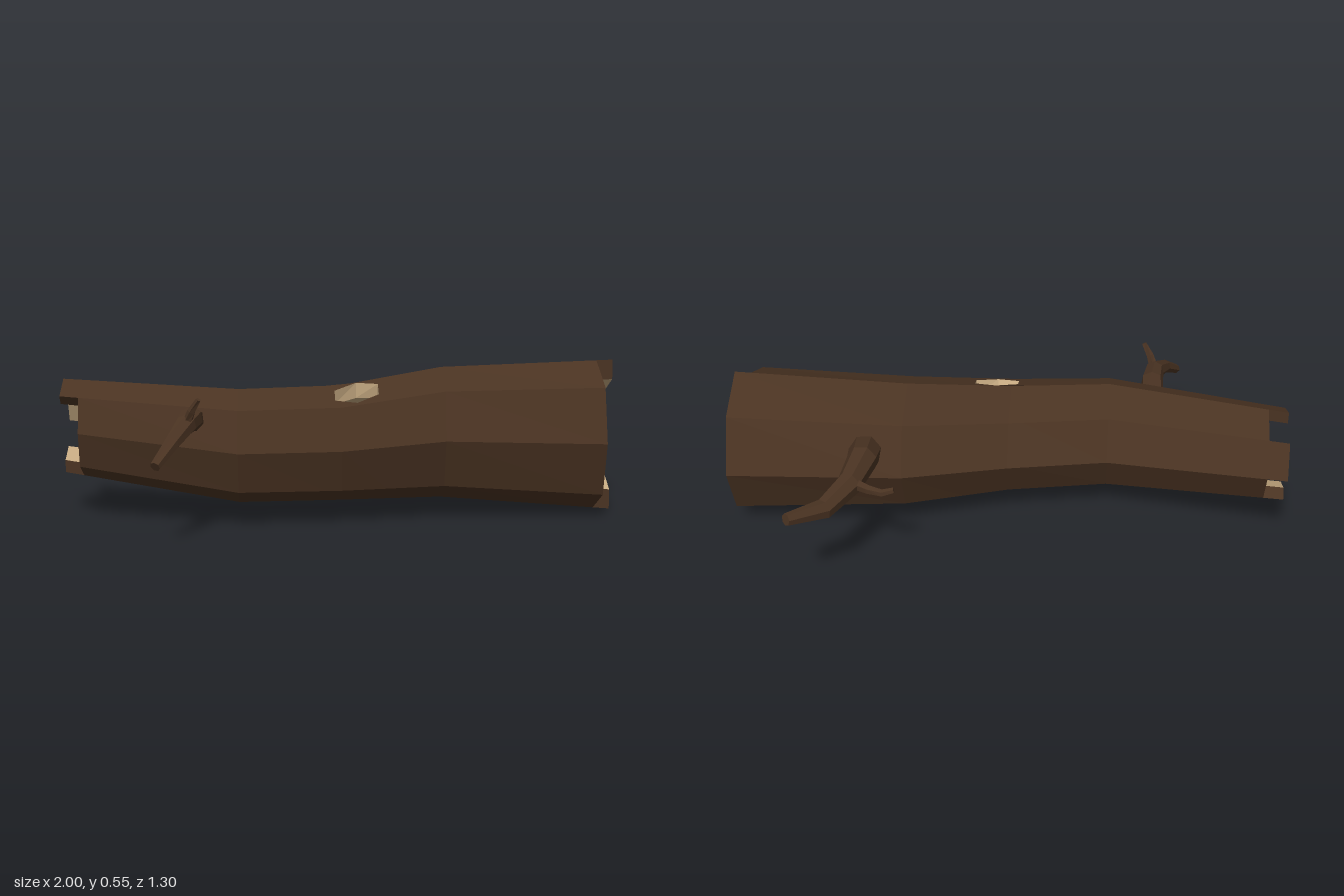
import * as THREE from 'three';

const bark = new THREE.MeshStandardMaterial({ color: 0x4a3322, flatShading: true, side: THREE.DoubleSide });
const wood = new THREE.MeshStandardMaterial({ color: 0xc4a880, flatShading: true, side: THREE.DoubleSide });
const V = (x, y, z) => new THREE.Vector3(x, y, z);

// Cross-sections of the trunk: x, centre y, centre z, radius y, radius z
const sections = [
  [-1, 0.317, -0.01, 0.172, 0.165],
  [-0.36, 0.267, 0.168, 0.203, 0.202],
  [0, 0.268, 0.118, 0.208, 0.217],
  [0.37, 0.29, 0.02, 0.24, 0.24],
  [1, 0.277, 0.017, 0.277, 0.25],
];
const SIDES = 8;
const INNER = 0.74;

// Corner i of the octagon at x, counted from the top towards the front
function corner(x, i, s) {
  let k = 0;
  while (k < sections.length - 2 && x > sections[k + 1][0]) k++;
  const p = sections[k], q = sections[k + 1];
  const t = (x - p[0]) / (q[0] - p[0]);
  const [, cy, cz, ry, rz] = p.map((v, j) => v + (q[j] - v) * t);
  const a = (i / SIDES) * Math.PI * 2;
  return V(x, cy + Math.cos(a) * ry * s, cz + Math.sin(a) * rz * s + 0.015 * Math.abs(Math.cos(a)));
}

// Point on the flat side between two corners
function onWall(x, a, s) {
  const i = Math.floor(a);
  return corner(x, i, s).lerp(corner(x, i + 1, s), a - i);
}

// Collects triangles into one mesh
class Faces {
  points = [];
  tri(a, b, c) { this.points.push(a, b, c); }
  quad(a, b, c, d) { this.tri(a, b, c); this.tri(a, c, d); }
  mesh(name, material) {
    const g = new THREE.BufferGeometry().setFromPoints(this.points);
    g.computeVertexNormals();
    const m = new THREE.Mesh(g, material);
    m.name = name;
    return m;
  }
}

function createTrunk() {
  const outside = new Faces(), inside = new Faces(), brokenWood = new Faces(), brokenBark = new Faces();
  const left = [0, 1, 2, 3, 4, 5, 6, 7].map(i => ([0, 4, 6].includes(i) ? -1 : -0.93));
  const right = [0, 1, 2, 3, 4, 5, 6, 7].map(i => (i < 4 ? 0.94 : 1));
  const hx0 = -0.05, hx1 = 0.16;

  for (let i = 0; i < SIDES; i++) {
    // Staves of the hollow trunk
    const xs = [left[i], -0.36, hx0, 0, hx1, 0.37, right[i]];
    for (let k = 0; k < xs.length - 1; k++) {
      const a = xs[k], b = xs[k + 1];
      if (i === 0 && a >= hx0 && b <= hx1) continue; // left open for the knot hole
      outside.quad(corner(a, i, 1), corner(a, i + 1, 1), corner(b, i + 1, 1), corner(b, i, 1));
      inside.quad(corner(a, i, INNER), corner(b, i, INNER), corner(b, i + 1, INNER), corner(a, i + 1, INNER));
    }
    // Stave ends
    const l = left[i], r = right[i];
    brokenWood.quad(corner(l, i, 1), corner(l, i, INNER), corner(l, i + 1, INNER), corner(l, i + 1, 1));
    (r < 1 ? brokenWood : brokenBark).quad(
      corner(r, i, 1), corner(r, i + 1, 1), corner(r, i + 1, INNER), corner(r, i, INNER));
    // Split sides where neighbouring staves differ in length
    const n = (i + 1) % SIDES;
    for (const ends of [left, right]) {
      if (ends[i] === ends[n]) continue;
      brokenBark.quad(corner(ends[i], n, 1), corner(ends[n], n, 1), corner(ends[n], n, INNER), corner(ends[i], n, INNER));
    }
  }

  // Six-sided knot hole through the upper front stave
  const outline = [[hx0, 0], [0, 0], [hx1, 0], [hx1, 1], [0, 1], [hx0, 1]].map(p => new THREE.Vector2(...p));
  const hole = [];
  for (let k = 0; k < 6; k++) {
    const a = Math.PI / 2 - (k * Math.PI) / 3;
    hole.push(new THREE.Vector2(0.057 + 0.09 * Math.cos(a), 0.46 + 0.44 * Math.sin(a)));
  }
  const all = [...outline, ...hole];
  for (const f of THREE.ShapeUtils.triangulateShape(outline, [hole])) {
    let [p, q, r] = f.map(j => all[j]);
    if (THREE.ShapeUtils.area([p, q, r]) > 0) [q, r] = [r, q];
    outside.tri(onWall(p.x, p.y, 1), onWall(q.x, q.y, 1), onWall(r.x, r.y, 1));
    inside.tri(onWall(p.x, p.y, INNER), onWall(r.x, r.y, INNER), onWall(q.x, q.y, INNER));
  }
  const rim = new Faces();
  hole.forEach((p, k) => {
    const q = hole[(k + 1) % 6];
    rim.quad(onWall(p.x, p.y, 1), onWall(q.x, q.y, 1), onWall(q.x, q.y, INNER), onWall(p.x, p.y, INNER));
  });

  const trunk = new THREE.Group();
  trunk.name = 'trunk';
  trunk.add(outside.mesh('trunkBark', bark), inside.mesh('hollowInside', wood),
    brokenWood.mesh('brokenEnds', wood), brokenBark.mesh('splitEdges', bark), rim.mesh('knotHoleRim', wood));
  return trunk;
}

// Tapered limb swept through [x, y, z, radius] points, closed at the tip
function createLimb(name, path, sides) {
  const faces = new Faces();
  const pts = path.map(p => V(p[0], p[1], p[2]));
  const rings = pts.map((p, k) => {
    const dir = pts[Math.min(k + 1, pts.length - 1)].clone().sub(pts[Math.max(k - 1, 0)]).normalize();
    const side = V(0.3, 1, 0.1).cross(dir).normalize();
    const up = dir.clone().cross(side);
    return Array.from({ length: sides }, (_, j) => {
      const a = (j / sides) * Math.PI * 2;
      return p.clone().addScaledVector(side, Math.cos(a) * path[k][3]).addScaledVector(up, Math.sin(a) * path[k][3]);
    });
  });
  const last = rings.length - 1;
  for (let j = 0; j < sides; j++) {
    const n = (j + 1) % sides;
    for (let k = 0; k < last; k++) faces.quad(rings[k][j], rings[k][n], rings[k + 1][n], rings[k + 1][j]);
    faces.tri(rings[last][j], rings[last][n], pts[last]);
  }
  return faces.mesh(name, bark);
}

export function createModel() {
  const model = new THREE.Group();
  model.name = 'hollowLog';
  model.add(
    createTrunk(),
    createLimb('frontBranch', [
      [-0.52, 0.37, 0.25, 0.045], [-0.52, 0.388, 0.35, 0.042], [-0.53, 0.382, 0.44, 0.036],
      [-0.57, 0.335, 0.55, 0.026], [-0.62, 0.272, 0.64, 0.018]], 7),
    createLimb('frontTwig', [
      [-0.53, 0.38, 0.45, 0.018], [-0.51, 0.43, 0.47, 0.014], [-0.485, 0.472, 0.487, 0.009]], 5),
    createLimb('backBranch', [
      [0.5, 0.37, -0.17, 0.06], [0.495, 0.4, -0.27, 0.054], [0.52, 0.388, -0.4, 0.045],
      [0.59, 0.37, -0.53, 0.036], [0.695, 0.398, -0.635, 0.022]], 7),
    createLimb('backTwig', [
      [0.52, 0.39, -0.39, 0.022], [0.45, 0.392, -0.435, 0.016], [0.4, 0.39, -0.45, 0.013], [0.36, 0.4, -0.445, 0.01]], 5),
  );
  return model;
}
